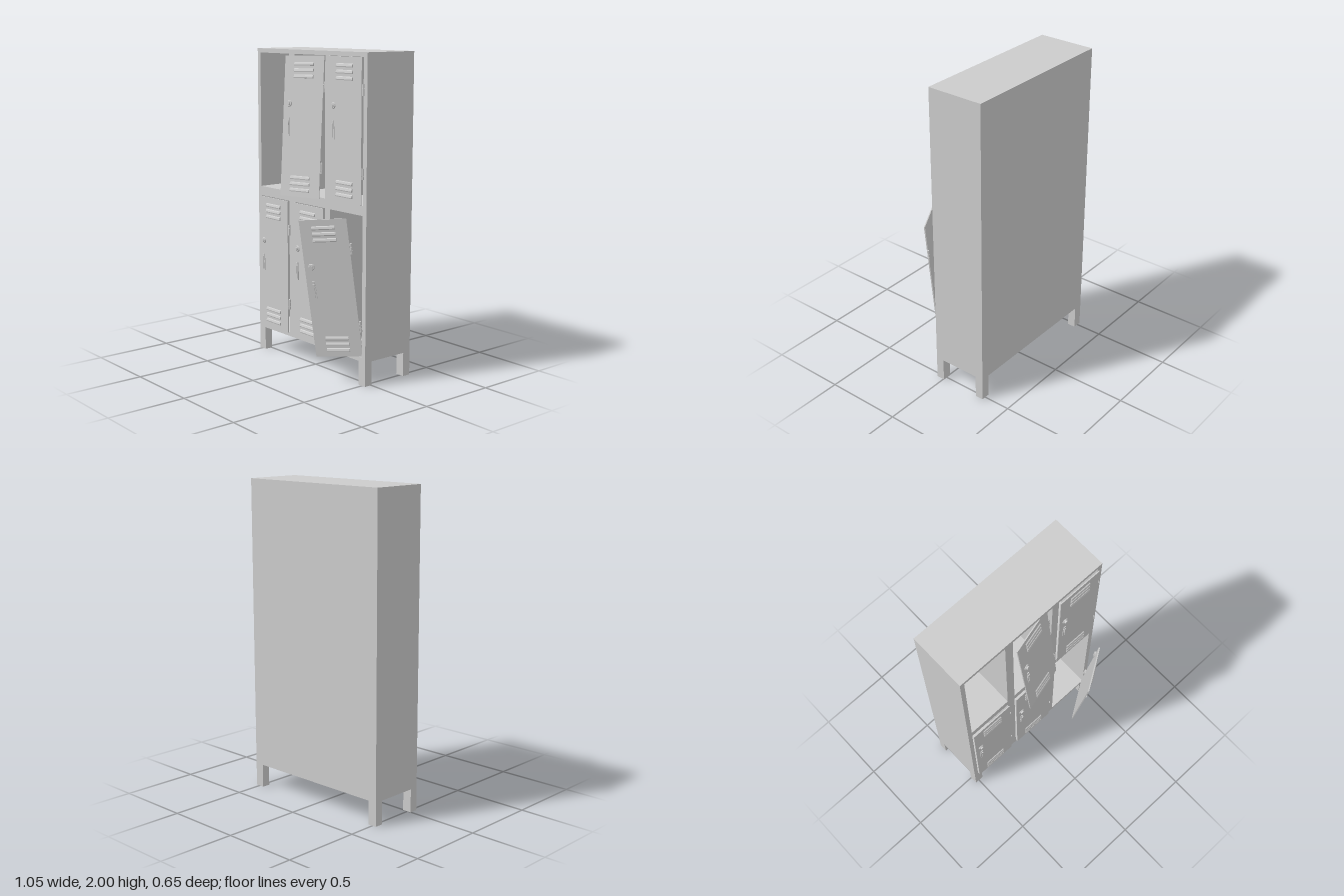
import * as THREE from 'three';

const material = new THREE.MeshStandardMaterial({ color: 0xcccccc, flatShading: true });

function add(parent, name, geometry, x = 0, y = 0, z = 0) {
  const mesh = new THREE.Mesh(geometry, material);
  mesh.name = name;
  mesh.position.set(x, y, z);
  parent.add(mesh);
  return mesh;
}

const box = (w, h, d) => new THREE.BoxGeometry(w, h, d);

function rectangle(Type, x0, y0, x1, y1) {
  const p = new Type();
  p.moveTo(x0, y0);
  p.lineTo(x1, y0);
  p.lineTo(x1, y1);
  p.lineTo(x0, y1);
  p.closePath();
  return p;
}

const columns = [-0.35, 0.002, 0.347];
const rows = [0.61, 1.539];
const doorWidth = 0.295, doorHeight = 0.865, doorDepth = 0.007;

// Hooded vent slat: a shallow wedge profile swept along x
function slatGeometry() {
  const profile = new THREE.Shape();
  profile.moveTo(0, -0.011);
  profile.lineTo(0.008, -0.011);
  profile.lineTo(0.01, -0.005);
  profile.lineTo(0.006, 0.007);
  profile.lineTo(0, 0.011);
  profile.closePath();
  const g = new THREE.ExtrudeGeometry(profile, { depth: 0.145, bevelEnabled: false });
  g.translate(0, 0, -0.0725);
  g.rotateY(-Math.PI / 2);
  // the profile now points along +z
  return g;
}

// Tapered pull, wider at the foot
function handleGeometry() {
  const s = new THREE.Shape();
  s.moveTo(-0.013, -0.058);
  s.lineTo(0.013, -0.058);
  s.lineTo(0.013, -0.005);
  s.lineTo(0.008, 0.055);
  s.lineTo(-0.008, 0.055);
  s.lineTo(-0.013, -0.005);
  s.closePath();
  return new THREE.ExtrudeGeometry(s, { depth: 0.005, bevelEnabled: false });
}

// Door built around its own centre, facing +z
function createDoor(name) {
  const door = new THREE.Group();
  door.name = name;
  const face = doorDepth / 2;
  add(door, 'doorPanel', box(doorWidth, doorHeight, doorDepth));

  for (const y of [0.382, 0.344, 0.306, -0.314, -0.352, -0.39]) {
    add(door, 'ventSlat', slatGeometry(), 0, y, face);
  }

  // Lock: wide collar, narrower barrel
  const lockX = -0.105;
  const collar = add(door, 'lockCollar', new THREE.CylinderGeometry(0.018, 0.021, 0.006, 16), lockX, 0.14, face + 0.003);
  const barrel = add(door, 'lockBarrel', new THREE.CylinderGeometry(0.012, 0.012, 0.01, 16), lockX, 0.14, face + 0.01);
  collar.rotation.x = barrel.rotation.x = Math.PI / 2;

  // Pull handle with a raised grip
  add(door, 'handlePlate', handleGeometry(), lockX, -0.003, face);
  add(door, 'handleGrip', box(0.012, 0.085, 0.008), lockX, -0.008, face + 0.007);

  // Hinges: three knuckles on a pin, and a leaf
  for (const y of [0.245, -0.245]) {
    for (const k of [-1, 0, 1]) {
      add(door, 'hingeKnuckle', new THREE.CylinderGeometry(0.0075, 0.0075, 0.021, 10), doorWidth / 2 + 0.006, y + k * 0.0225, -0.005);
    }
    add(door, 'hingePin', new THREE.CylinderGeometry(0.005, 0.005, 0.068, 8), doorWidth / 2 + 0.006, y, -0.005);
    add(door, 'hingeLeaf', box(0.018, 0.064, 0.003), doorWidth / 2 - 0.004, y, -0.005);
  }
  return door;
}

// Orient a loose door by its width and height directions
function tilt(door, across, up) {
  const u = new THREE.Vector3(...across).normalize();
  const w = u.clone().cross(new THREE.Vector3(...up)).normalize();
  const v = w.clone().cross(u);
  door.quaternion.setFromRotationMatrix(new THREE.Matrix4().makeBasis(u, v, w));
}

export function createModel() {
  const model = new THREE.Group();
  model.name = 'lockerCabinet';

  // Carcass with six compartments
  const front = rectangle(THREE.Shape, -0.527, 0.15, 0.527, 2);
  for (const x of columns) {
    for (const y of rows) {
      front.holes.push(rectangle(THREE.Path, x - 0.148, y - 0.434, x + 0.148, y + 0.434));
    }
  }
  add(model, 'carcass', new THREE.ExtrudeGeometry(front, { depth: 0.275, bevelEnabled: false }), 0, 0, -0.225);
  add(model, 'backPanel', box(1.054, 1.85, 0.097), 0, 1.075, -0.2735);

  // Legs
  for (const x of [-0.497, 0.497]) {
    for (const z of [0.023, -0.295]) add(model, 'leg', box(0.06, 0.152, 0.054), x, 0.076, z);
  }

  // Closed doors; the upper left compartment has none
  for (const [c, r] of [[0, 0], [1, 0], [2, 1]]) {
    const door = createDoor('closedDoor');
    door.position.set(columns[c], rows[r], 0.062);
    model.add(door);
  }

  // Loose doors
  const upper = createDoor('looseUpperDoor');
  upper.position.set(-0.005, 1.536, 0.102);
  tilt(upper, [0.285, 0.005, -0.073], [-0.035, 0.862, -0.071]);
  model.add(upper);

  const lower = createDoor('looseLowerDoor');
  lower.position.set(0.365, 0.599, 0.182);
  tilt(lower, [0.245, 0.028, -0.157], [-0.015, 0.857, 0.117]);
  model.add(lower);

  return model;
}
